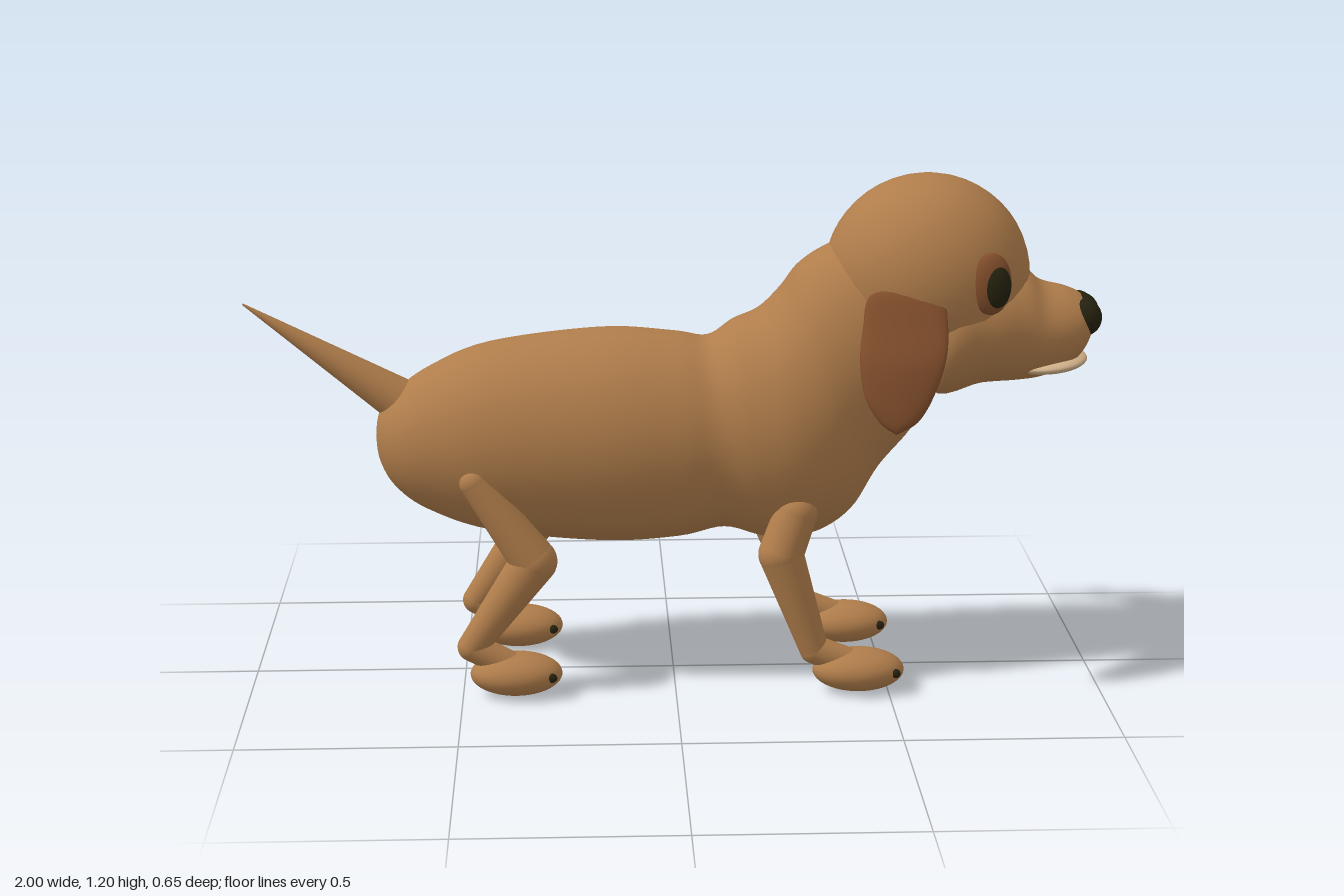
import * as THREE from 'three';

const mat = (name, color) => Object.assign(new THREE.MeshStandardMaterial({ color }), { name });

// Smooth skin through elliptical sections [topX, topY, bottomX, bottomY, halfWidth, z]
function loft(sections, steps = 6, sides = 40) {
  const n = sections.length, rows = (n - 1) * steps, pos = [], index = [];
  const cr = (a, b, c, d, t) => 0.5 * (2 * b + (c - a) * t + (2 * a - 5 * b + 4 * c - d) * t * t
    + (3 * b - a - 3 * c + d) * t * t * t);
  for (let r = 0; r <= rows; r++) {
    const i = Math.min(Math.floor(r / steps), n - 2), t = r / steps - i;
    const at = (k) => sections[Math.max(0, Math.min(n - 1, k))];
    const [tx, ty, bx, by, w, z] = [0, 1, 2, 3, 4, 5].map((k) =>
      cr(at(i - 1)[k] ?? 0, at(i)[k] ?? 0, at(i + 1)[k] ?? 0, at(i + 2)[k] ?? 0, t));
    for (let j = 0; j < sides; j++) {
      const a = j / sides * Math.PI * 2, c = Math.cos(a) / 2;
      pos.push((tx + bx) / 2 + (tx - bx) * c, (ty + by) / 2 + (ty - by) * c, z + w * Math.sin(a));
      if (r < rows) {
        const p = r * sides + j, q = r * sides + (j + 1) % sides;
        index.push(p, q, p + sides, q, q + sides, p + sides);
      }
    }
  }
  const g = new THREE.BufferGeometry();
  g.setAttribute('position', new THREE.Float32BufferAttribute(pos, 3));
  g.setIndex(index);
  g.computeVertexNormals();
  return g;
}

export function createModel() {
  const fur = mat('tan fur', 0xb07d4b), dark = mat('dark brown', 0x804d2b);
  const black = mat('black', 0x25210f), cream = mat('cream', 0xd0b08a);
  const root = new THREE.Group();
  root.name = 'dog';

  const add = (name, geometry, material, parent = root) => {
    const m = new THREE.Mesh(geometry, material);
    m.name = name;
    parent.add(m);
    return m;
  };
  const ball = (name, material, p, s, parent) => {
    const m = add(name, new THREE.SphereGeometry(1, 36, 24), material, parent);
    m.position.set(...p);
    m.scale.set(...s);
    return m;
  };
  // Tapered rod between two points
  const rod = (name, a, b, ra, rb, parent) => {
    const A = new THREE.Vector3(...a), B = new THREE.Vector3(...b), d = B.clone().sub(A);
    const m = add(name, new THREE.CylinderGeometry(rb, ra, d.length(), 24), fur, parent);
    m.position.copy(A).add(B).multiplyScalar(0.5);
    m.quaternion.setFromUnitVectors(new THREE.Vector3(0, 1, 0), d.normalize());
  };

  // Torso, chest and neck in one skin
  add('body', loft([
    [-0.70, 0.585, -0.70, 0.585, 0], [-0.69, 0.645, -0.69, 0.525, 0.055],
    [-0.65, 0.695, -0.655, 0.465, 0.105], [-0.57, 0.752, -0.58, 0.41, 0.15],
    [-0.43, 0.808, -0.43, 0.358, 0.193], [-0.17, 0.84, -0.17, 0.33, 0.216],
    [0.0, 0.83, 0.01, 0.338, 0.207], [0.08, 0.82, 0.12, 0.36, 0.194],
    [0.14, 0.858, 0.22, 0.335, 0.207], [0.2, 0.885, 0.33, 0.343, 0.217],
    [0.25, 0.935, 0.42, 0.40, 0.208], [0.29, 0.988, 0.485, 0.505, 0.196],
    [0.35, 1.03, 0.56, 0.595, 0.185], [0.43, 1.06, 0.605, 0.68, 0.165],
    [0.5, 1.04, 0.65, 0.76, 0.1], [0.58, 0.92, 0.58, 0.92, 0],
  ]), fur);

  // Tail
  rod('tail', [-0.62, 0.657, 0], [-1, 0.905, 0], 0.056, 0.002);

  // Head and muzzle
  ball('head', fur, [0.592, 0.965, 0], [0.24, 0.236, 0.213]);
  add('muzzle', loft([
    [0.52, 0.85, 0.52, 0.85, 0], [0.61, 0.99, 0.60, 0.69, 0.185],
    [0.72, 1.0, 0.72, 0.708, 0.178], [0.81, 0.985, 0.80, 0.712, 0.152],
    [0.86, 0.948, 0.86, 0.72, 0.135], [0.92, 0.932, 0.92, 0.742, 0.115],
    [0.96, 0.912, 0.955, 0.775, 0.092], [0.98, 0.88, 0.975, 0.815, 0.055],
    [0.985, 0.85, 0.985, 0.85, 0],
  ]), fur);
  ball('lowerLip', cream, [0.875, 0.758, 0], [0.1, 0.024, 0.122]).rotation.z = 0.08;

  // Nose: bridge plus two lobes
  const nose = new THREE.Group();
  nose.name = 'nose';
  root.add(nose);
  ball('noseBridge', black, [0.955, 0.879, 0], [0.042, 0.037, 0.075], nose);

  for (const s of [1, -1]) {
    const side = s > 0 ? 'Near' : 'Far';
    ball('noseLobe' + side, black, [0.957, 0.868, s * 0.05], [0.041, 0.043, 0.042], nose);

    // Eyes
    ball('eyeRim' + side, dark, [0.715, 0.978, s * 0.182], [0.047, 0.072, 0.027]);
    ball('pupil' + side, black, [0.727, 0.974, s * 0.194], [0.032, 0.05, 0.022]);

    // Hanging ears
    add('ear' + side, loft([
      [0.52, 0.965, 0.52, 0.965, 0, s * 0.18], [0.60, 0.955, 0.44, 0.955, 0.015, s * 0.188],
      [0.613, 0.89, 0.42, 0.89, 0.018, s * 0.228], [0.604, 0.82, 0.41, 0.82, 0.018, s * 0.272],
      [0.575, 0.745, 0.42, 0.745, 0.017, s * 0.298], [0.54, 0.69, 0.452, 0.69, 0.016, s * 0.31],
      [0.495, 0.665, 0.485, 0.665, 0.01, s * 0.313], [0.49, 0.663, 0.49, 0.663, 0, s * 0.313],
    ], 6, 28), dark);

    // Legs: joints as [x, y, z, radius], then the foot centre
    const legs = [
      ['frontLeg', 0.43, [[0.28, 0.43, 0.15, 0.05], [0.245, 0.335, 0.167, 0.053],
        [0.325, 0.1, 0.17, 0.034], [0.40, 0.07, 0.17, 0.034]]],
      ['hindLeg', -0.375, [[-0.465, 0.515, 0.16, 0.036], [-0.33, 0.325, 0.167, 0.054],
        [-0.478, 0.117, 0.17, 0.034], [-0.39, 0.07, 0.17, 0.034]]],
    ];
    for (const [name, footX, joints] of legs) {
      const leg = new THREE.Group();
      leg.name = name + side;
      root.add(leg);
      joints.forEach(([x, y, z, r], i) => {
        ball('joint', fur, [x, y, s * z], [r, r, r], leg);
        if (i) {
          const [px, py, pz, pr] = joints[i - 1];
          rod('limb', [px, py, s * pz], [x, y, s * z], pr, r, leg);
        }
      });
      ball('foot', fur, [footX, 0.05, s * 0.17], [0.108, 0.05, 0.072], leg);
      for (const c of [-1, 1])
        ball('claw', black, [footX + 0.084, 0.052, s * 0.17 + c * 0.043], [0.012, 0.011, 0.009], leg);
    }
  }
  return root;
}
